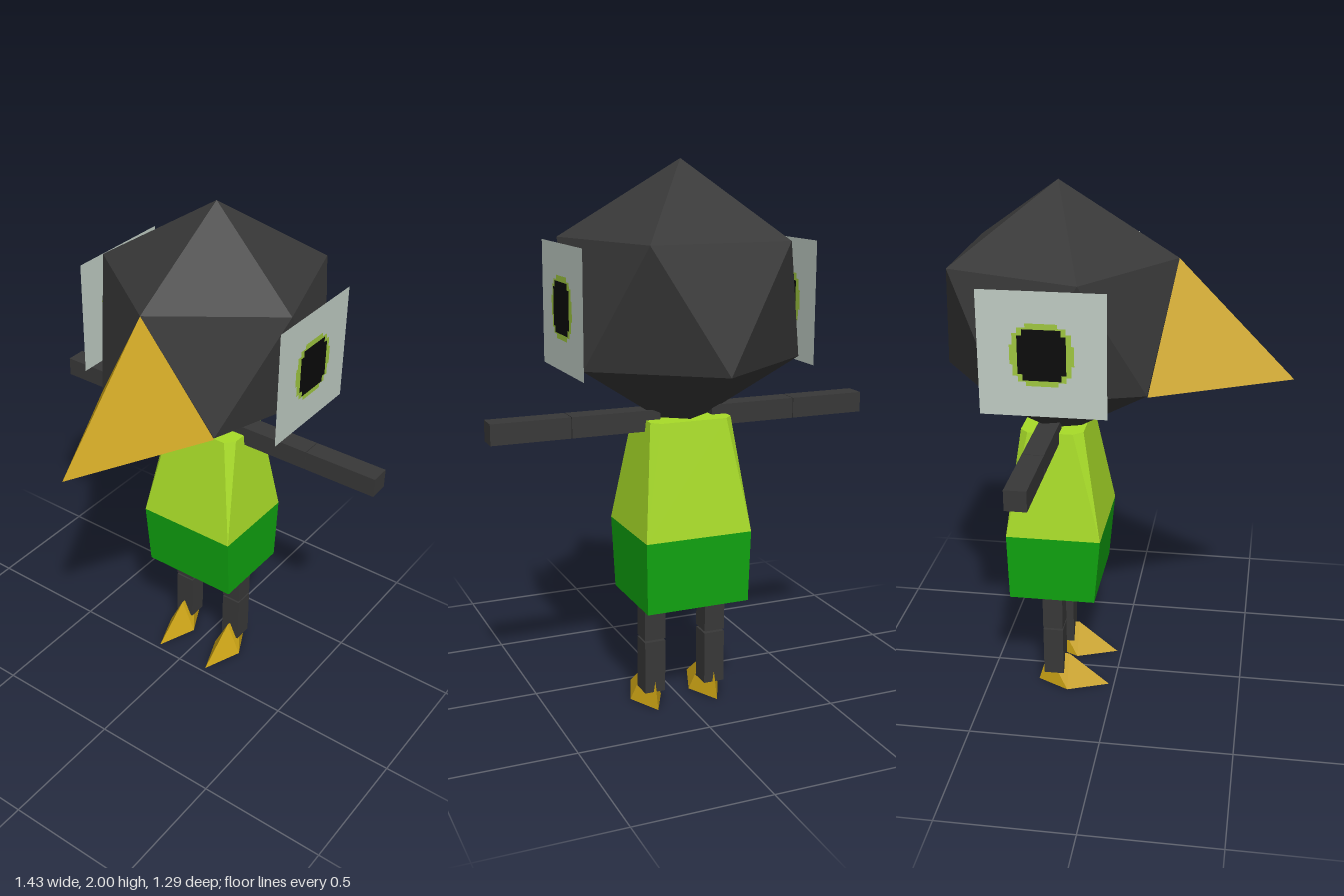
import * as THREE from 'three';
import { ConvexGeometry } from 'three/addons/geometries/ConvexGeometry.js';

export function createModel() {
  const model = new THREE.Group();
  model.name = 'birdCharacter';
  const mat = (name, color, extra = {}) => {
    const m = new THREE.MeshStandardMaterial({ color, flatShading: true, ...extra });
    m.name = name;
    return m;
  };
  const thin = { side: THREE.DoubleSide };
  const charcoal = mat('charcoal', 0x383838);
  const gold = mat('gold', 0xc9a114);
  const lime = mat('lime', 0xa8dc28);
  const green = mat('green', 0x10a410);
  const eyeWhite = mat('eyeWhite', 0xc0ccc4, thin);
  const irisLime = mat('irisLime', 0xa0c840, thin);
  const pupilBlack = mat('pupilBlack', 0x0a0a0a, thin);

  const add = (name, geometry, material) => {
    const mesh = new THREE.Mesh(geometry, material);
    mesh.name = name;
    model.add(mesh);
    return mesh;
  };
  // Faceted solid from its corner points
  const solid = (name, points, material) =>
    add(name, new ConvexGeometry(points.map((p) => new THREE.Vector3(...p))), material);
  // Box from its minimum and maximum corners
  const box = (name, a, b, material) => {
    const g = new THREE.BoxGeometry(b[0] - a[0], b[1] - a[1], b[2] - a[2]);
    g.translate((a[0] + b[0]) / 2, (a[1] + b[1]) / 2, (a[2] + b[2]) / 2);
    return add(name, g, material);
  };
  const Z = -0.21;

  // Head: icosahedron standing on a corner
  const R = 0.481, cy = 1.519;
  const headPoints = [[0, cy + R, Z], [0, cy - R, Z]];
  for (let i = 0; i < 5; i++) {
    const a = (i * 2 * Math.PI) / 5, r = R * 0.8944, h = R * 0.4472;
    headPoints.push([r * Math.sin(a), cy + h, Z + r * Math.cos(a)]);
    headPoints.push([r * Math.sin(a), cy - h, Z - r * Math.cos(a)]);
  }
  solid('head', headPoints, charcoal);

  // Beak grows from the front face of the head
  solid('beak', [[0, 1.734, 0.22], [-0.255, 1.3, 0.14], [0.255, 1.3, 0.14], [0, 1.3, 0.645]], gold);

  // Shirt: square hem tapering to a neck with cut corners
  const shirt = [];
  for (const s of [-1, 1]) {
    shirt.push([s * 0.203, 0.685, -0.04], [s * 0.203, 0.685, -0.4]);
    shirt.push([s * 0.125, 1.1, -0.11], [s * 0.155, 1.1, -0.145]);
    shirt.push([s * 0.125, 1.1, -0.345], [s * 0.155, 1.1, -0.315]);
  }
  solid('shirt', shirt, lime);

  // Shorts
  const shorts = [];
  for (const s of [-1, 1]) {
    shorts.push([s * 0.203, 0.685, -0.04], [s * 0.203, 0.685, -0.4]);
    shorts.push([s * 0.197, 0.42, -0.065], [s * 0.197, 0.42, -0.395]);
  }
  solid('shorts', shorts, green);

  // Stepped disc for the eye markings, from one quadrant of corners
  const stepped = (quadrant) => {
    const back = [...quadrant].reverse();
    return new THREE.ShapeGeometry(new THREE.Shape([
      ...quadrant,
      ...back.map(([x, y]) => [-x, y]),
      ...quadrant.map(([x, y]) => [-x, -y]),
      ...back.map(([x, y]) => [x, -y]),
    ].map(([x, y]) => new THREE.Vector2(x, y))));
  };
  const irisShape = stepped([[0.11, 0.035], [0.1, 0.035], [0.1, 0.075], [0.083, 0.075],
    [0.083, 0.095], [0.055, 0.095], [0.055, 0.11]]);
  const pupilShape = stepped([[0.083, 0.068], [0.066, 0.068], [0.066, 0.09]]);

  for (const s of [-1, 1]) {
    const side = s > 0 ? 'left' : 'right';

    // Eye plate with markings on both faces
    const eyePart = (name, geometry, material, x) => {
      const m = add(side + name, geometry, material);
      m.rotation.y = Math.PI / 2;
      m.position.set(s * x, 1.5, -0.195);
    };
    eyePart('EyePlate', new THREE.PlaneGeometry(0.44, 0.44), eyeWhite, 0.431);
    for (const f of [-1, 1]) {
      eyePart('Iris', irisShape, irisLime, 0.431 + f * 0.002);
      eyePart('Pupil', pupilShape, pupilBlack, 0.431 + f * 0.004);
    }

    // Arms and legs in two segments each
    const limb = (name, x0, x1, y0, y1) => box(side + name,
      [Math.min(s * x0, s * x1), y0, -0.275], [Math.max(s * x0, s * x1), y1, -0.197], charcoal);
    limb('UpperArm', 0.1, 0.428, 1.06, 1.135);
    limb('Forearm', 0.431, 0.717, 1.06, 1.135);
    limb('Thigh', 0.08, 0.16, 0.268, 0.45);
    limb('Shin', 0.08, 0.16, 0.06, 0.26);

    // Foot: kite-shaped sole with a ridge on top
    const fx = s * 0.12;
    solid(side + 'Foot', [
      [fx, 0, -0.02], [fx - 0.062, 0, -0.18], [fx + 0.062, 0, -0.18], [fx, 0, -0.305],
      [fx, 0.13, -0.18], [fx, 0.125, -0.268],
    ], gold);
  }
  return model;
}
